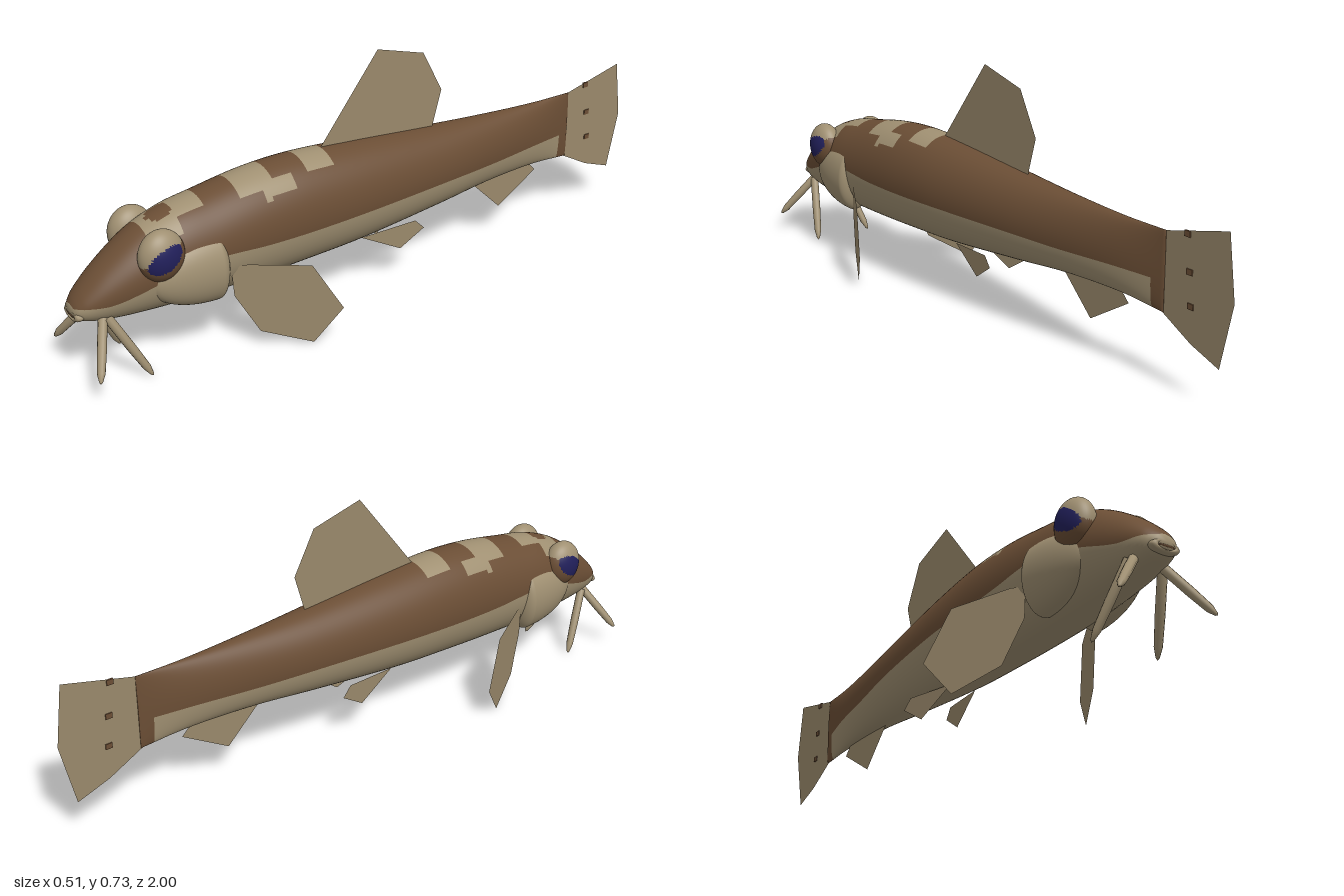
import * as THREE from 'three';

const mat = (name, color, side = THREE.FrontSide) => {
  const m = new THREE.MeshStandardMaterial({ color, side });
  m.name = name;
  return m;
};

// Body stations: z, top y, bottom y, half width, y of the colour line
const STATIONS = [
  [0.995, 0.240, 0.203, 0.030, 0.234], [0.97, 0.272, 0.186, 0.052, 0.236],
  [0.90, 0.335, 0.172, 0.078, 0.238], [0.80, 0.402, 0.164, 0.102, 0.268],
  [0.70, 0.440, 0.160, 0.116, 0.300], [0.60, 0.457, 0.158, 0.124, 0.308],
  [0.45, 0.480, 0.159, 0.128, 0.300], [0.30, 0.487, 0.163, 0.128, 0.298],
  [0.10, 0.475, 0.171, 0.121, 0.300], [-0.20, 0.449, 0.195, 0.094, 0.300],
  [-0.40, 0.436, 0.212, 0.067, 0.296], [-0.60, 0.428, 0.216, 0.036, 0.296],
  [-0.76, 0.428, 0.205, 0.004, 0.290],
];

// Smooth interpolation of one station column
function sample(z, k) {
  let i = 0;
  while (i < STATIONS.length - 2 && z < STATIONS[i + 1][0]) i++;
  const slope = (n) => {
    const a = STATIONS[Math.max(n - 1, 0)], b = STATIONS[Math.min(n + 1, STATIONS.length - 1)];
    return (b[k] - a[k]) / (b[0] - a[0]);
  };
  const p = STATIONS[i], q = STATIONS[i + 1], d = q[0] - p[0];
  const t = (z - p[0]) / d, t2 = t * t, t3 = t2 * t;
  return (2 * t3 - 3 * t2 + 1) * p[k] + (t3 - 2 * t2 + t) * d * slope(i)
    + (3 * t2 - 2 * t3) * q[k] + (t3 - t2) * d * slope(i + 1);
}

// Pale saddle markings along the back
function isSaddle(x, z) {
  const ax = Math.abs(x), inside = (z0, z1, w) => z > z0 && z < z1 && ax < w;
  if (Math.hypot(x, z - 0.73) < 0.036) return false;
  return inside(0.21, 0.30, 0.07) || inside(0.41, 0.515, 0.078) || inside(0.62, 0.70, 0.055)
    || inside(0.70, 0.79, 0.085) || (inside(0.35, 0.45, 0.1) && ax > 0.066);
}

// Indexed geometry whose faces are sorted into one group per material
function groupedGeometry(positions, lists) {
  const g = new THREE.BufferGeometry();
  g.setAttribute('position', new THREE.Float32BufferAttribute(positions, 3));
  g.setIndex(lists.flat());
  let start = 0;
  lists.forEach((l, m) => { g.addGroup(start, l.length, m); start += l.length; });
  g.computeVertexNormals();
  return g;
}

function bodyGeometry() {
  const rings = 176, upper = 40, lower = 24, n = upper + lower, pos = [], lists = [[], []];
  for (let i = 0; i < rings; i++) {
    const z = 0.995 - (1.755 * i) / (rings - 1);
    const top = sample(z, 1), bottom = sample(z, 2), w = sample(z, 3), line = sample(z, 4);
    const c = (top + bottom) / 2, h = (top - bottom) / 2;
    const a = Math.acos(THREE.MathUtils.clamp((line - c) / h, -0.95, 0.95));
    for (let j = 0; j < n; j++) {
      const t = j <= upper ? -a + (2 * a * j) / upper : a + ((2 * Math.PI - 2 * a) * (j - upper)) / lower;
      const s = Math.sin(t), fuller = Math.cos(t) < 0 ? 0.85 : 1;
      pos.push(w * Math.sign(s) * Math.abs(s) ** fuller, c + h * Math.cos(t), z);
    }
  }
  for (let i = 0; i < rings - 1; i++) {
    for (let j = 0; j < n; j++) {
      const a = i * n + j, b = i * n + ((j + 1) % n), c = a + n, d = b + n;
      const x = (pos[3 * a] + pos[3 * b]) / 2, z = pos[3 * a + 2];
      const onBack = j > upper * 0.2 && j < upper * 0.8;
      const pale = z < -0.71 ? false : j >= upper || (onBack && isSaddle(x, z));
      lists[pale ? 1 : 0].push(a, b, c, b, d, c);
    }
  }
  // Snout and tail caps
  const front = pos.length / 3, last = (rings - 1) * n;
  pos.push(0, 0.22, 0.998, 0, 0.316, -0.76);
  for (let j = 0; j < n; j++) {
    const k = (j + 1) % n;
    lists[1].push(front, k, j);
    lists[0].push(front + 1, last + j, last + k);
  }
  return groupedGeometry(pos, lists);
}

// Eye: ellipsoid with brown surround, pale upper lid and dark blue pupil
function eyeGeometry(side) {
  const s = new THREE.SphereGeometry(1, 48, 36);
  s.scale(0.047, 0.074, 0.066);
  const p = s.attributes.position, idx = s.index.array, lists = [[], [], []];
  for (let f = 0; f < idx.length; f += 3) {
    const tri = [idx[f], idx[f + 1], idx[f + 2]];
    const mean = (get) => tri.reduce((sum, v) => sum + get(v), 0) / 3;
    const x = mean((v) => p.getX(v)) * side, y = mean((v) => p.getY(v)), z = mean((v) => p.getZ(v));
    const u = z - 0.004, v = y - 0.002 + 0.35 * u;
    const pupil = x > 0 && Math.hypot(u / 0.05, v / 0.034) < 1;
    const lid = y + 0.45 * z > 0.012;
    lists[pupil ? 2 : lid ? 1 : 0].push(...tri);
  }
  return groupedGeometry(Array.from(p.array), lists);
}

// Flat fin from [z, y] outline; xOf gives the sideways position
function finGeometry(outline, xOf = () => 0) {
  const g = new THREE.ShapeGeometry(new THREE.Shape(outline.map(([z, y]) => new THREE.Vector2(z, y))));
  const p = g.attributes.position;
  for (let i = 0; i < p.count; i++) {
    const z = p.getX(i), y = p.getY(i);
    p.setXYZ(i, xOf(z, y), y, z);
  }
  g.computeVertexNormals();
  return g;
}

// Tapered whisker between two points
function barbelGeometry(from, to) {
  const a = new THREE.Vector3(...from), b = new THREE.Vector3(...to), len = a.distanceTo(b);
  const profile = [[0, 0], [0.013, 0], [0.013, 0.5], [0.011, 0.85], [0.005, 0.97], [0, 1]];
  const g = new THREE.LatheGeometry(profile.map(([r, t]) => new THREE.Vector2(r, t * len)), 10);
  const dir = b.clone().sub(a).normalize();
  g.applyQuaternion(new THREE.Quaternion().setFromUnitVectors(new THREE.Vector3(0, 1, 0), dir));
  return g.translate(a.x, a.y, a.z);
}

export function createModel() {
  const model = new THREE.Group();
  model.name = 'fish';
  const brown = mat('brown back', 0x6b4e35);
  const tan = mat('pale tan', 0xa09072);
  const blue = mat('dark blue', 0x22205c);
  const fin = mat('fin tan', 0x9a896b, THREE.DoubleSide);
  const add = (name, geometry, material) => {
    const m = new THREE.Mesh(geometry, material);
    m.name = name;
    model.add(m);
    return m;
  };

  add('body', bodyGeometry(), [brown, tan]);

  // Mouth
  const lips = add('lips', new THREE.TorusGeometry(0.032, 0.013, 10, 28), tan);
  lips.scale.set(1, 0.4, 1);
  lips.position.set(0, 0.209, 0.984);
  const mouth = add('mouth', new THREE.SphereGeometry(1, 20, 10), brown);
  mouth.scale.set(0.03, 0.004, 0.006);
  mouth.position.set(0, 0.209, 0.992);

  // Unpaired fins
  add('dorsalFin', finGeometry([[0.22, 0.47], [0.2, 0.483], [0, 0.735], [-0.165, 0.69], [-0.235, 0.56], [-0.2, 0.44]]), fin);
  add('tailFin', finGeometry([[-0.75, 0.425], [-0.975, 0.48], [-1, 0.3], [-0.96, 0.115], [-0.86, 0.15], [-0.75, 0.208]]), fin);
  add('analFin', finGeometry([[-0.36, 0.215], [-0.48, 0.1], [-0.63, 0.19], [-0.59, 0.23]]), fin);
  for (const [y, z] of [[0.438, -0.835], [0.34, -0.847], [0.25, -0.855]]) {
    add('tailSpot', new THREE.BoxGeometry(0.006, 0.016, 0.02), brown).position.set(0, y, z);
  }

  // Paired parts
  for (const s of [1, -1]) {
    const label = s > 0 ? 'left' : 'right';
    add(label + 'Eye', eyeGeometry(s), [brown, tan, blue]).position.set(s * 0.09, 0.35, 0.765);

    // Gill cover: long taper forward, abrupt edge behind
    const gill = new THREE.SphereGeometry(1, 40, 28);
    const p = gill.attributes.position;
    for (let i = 0; i < p.count; i++) {
      const z = p.getZ(i);
      p.setXYZ(i, s * 0.08 + p.getX(i) * 0.062, 0.268 + p.getY(i) * 0.104, 0.605 + z * (z > 0 ? 0.2 : 0.035));
    }
    gill.computeVertexNormals();
    add(label + 'GillCover', gill, tan);

    add(label + 'PectoralFin', finGeometry(
      [[0.57, 0.26], [0.53, 0.265], [0.375, 0.25], [0.3, 0.11], [0.375, 0.006], [0.505, 0.053], [0.565, 0.17]],
      (z) => s * (0.417 - 0.54 * z)), fin);
    add(label + 'PelvicFin', finGeometry([[0.09, 0.175], [-0.04, 0.108], [-0.12, 0.16], [-0.09, 0.19]],
      (z) => s * (0.055 - 0.15 * z)), fin);

    add(label + 'FrontBarbel', barbelGeometry([s * 0.045, 0.195, 0.925], [s * 0.147, 0.066, 0.99]), tan);
    add(label + 'RearBarbel', barbelGeometry([s * 0.052, 0.195, 0.915], [s * 0.1, 0.004, 0.818]), tan);
  }
  return model;
}
